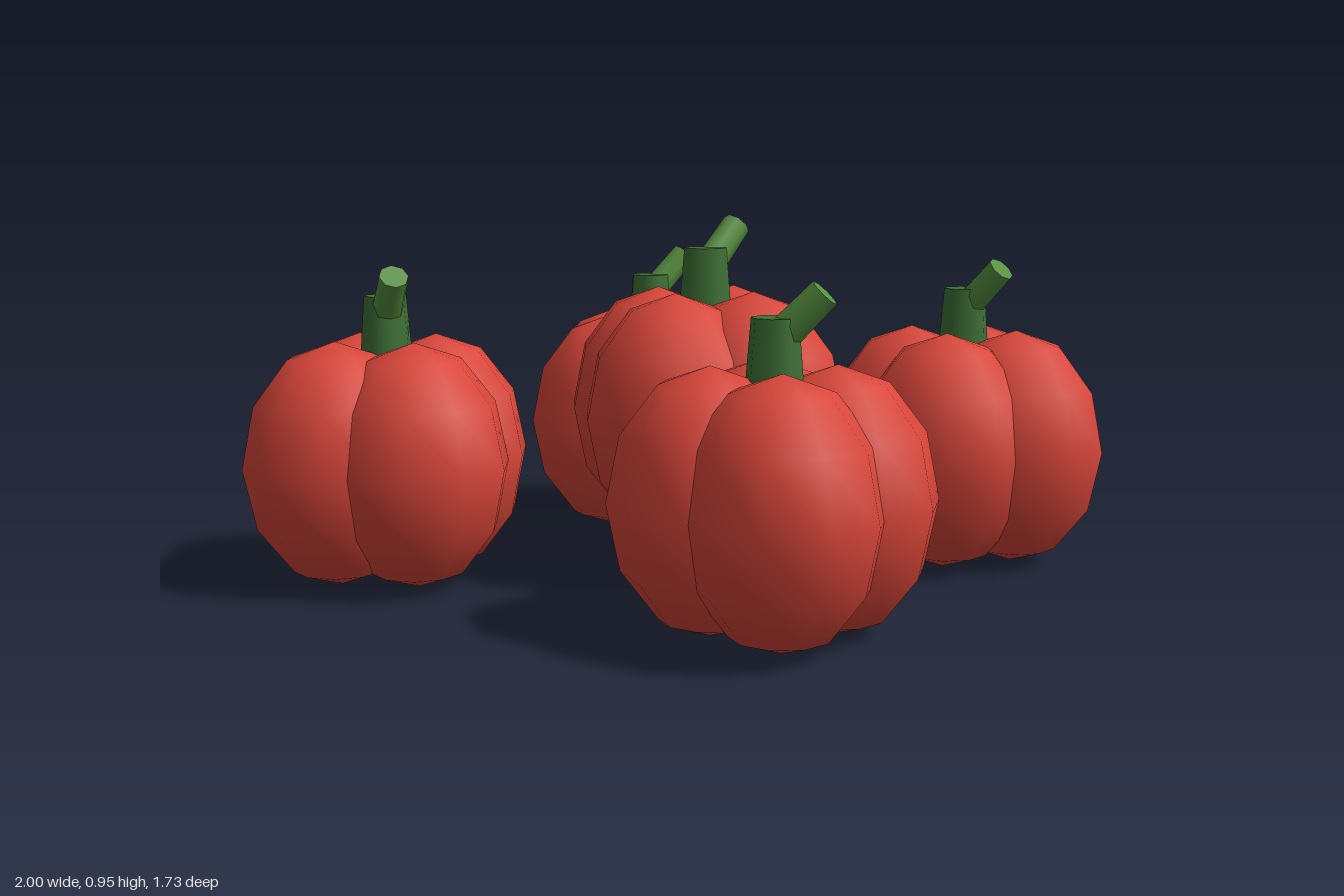
import * as THREE from 'three';

const rind = new THREE.MeshStandardMaterial({ color: 0xd9463a });
rind.name = 'red rind';
const darkGreen = new THREE.MeshStandardMaterial({ color: 0x3e6f35 });
darkGreen.name = 'dark green stalk';
const lightGreen = new THREE.MeshStandardMaterial({ color: 0x579040 });
lightGreen.name = 'light green stalk';

const HALF_HEIGHT = 0.32;
const LOBE_RADIUS = 0.243;
const LOBE_OFFSET = 0.148;

const lobeGeometry = new THREE.SphereGeometry(1, 10, 6);
lobeGeometry.scale(LOBE_RADIUS, HALF_HEIGHT, LOBE_RADIUS);
const stemBaseGeometry = new THREE.CylinderGeometry(0.056, 0.072, 0.2, 8);
const stemTipGeometry = new THREE.CylinderGeometry(0.038, 0.042, 0.17, 8);

function part(name, geometry, material, x, y, z) {
  const mesh = new THREE.Mesh(geometry, material);
  mesh.name = name;
  mesh.position.set(x, y, z);
  return mesh;
}

// Four overlapping lobes with a bent stem, centred on its own origin
function createPumpkin(name) {
  const pumpkin = new THREE.Group();
  pumpkin.name = name;
  for (let i = 0; i < 4; i++) {
    const a = (i * Math.PI) / 2;
    pumpkin.add(part('lobe' + (i + 1), lobeGeometry, rind,
      Math.cos(a) * LOBE_OFFSET, 0, Math.sin(a) * LOBE_OFFSET));
  }

  // Upright stalk, then a thinner piece leaning outwards
  const stem = new THREE.Group();
  stem.name = 'stem';
  stem.rotation.y = THREE.MathUtils.degToRad(-16);
  stem.add(part('stemBase', stemBaseGeometry, darkGreen, 0, 0.33, 0));
  const tip = part('stemTip', stemTipGeometry, lightGreen, 0.055, 0.427, 0);
  tip.rotation.z = THREE.MathUtils.degToRad(-44);
  stem.add(tip);
  pumpkin.add(stem);
  return pumpkin;
}

export function createModel() {
  const model = new THREE.Group();
  model.name = 'pumpkinPile';

  // name, x, y, z, heading in degrees
  const layout = [
    ['centerPumpkin', 0.055, 0.44, -0.005, 88],
    ['backRightPumpkin', -0.395, 0.32, -0.467, 72],
    ['backLeftPumpkin', 0.602, 0.32, -0.487, 4],
    ['frontRightPumpkin', -0.63, 0.32, 0.484, -22],
    ['frontLeftPumpkin', 0.497, 0.32, 0.458, 34],
  ];
  for (const [name, x, y, z, heading] of layout) {
    const pumpkin = createPumpkin(name);
    pumpkin.position.set(x, y, z);
    pumpkin.rotation.y = THREE.MathUtils.degToRad(heading);
    model.add(pumpkin);
  }
  return model;
}
